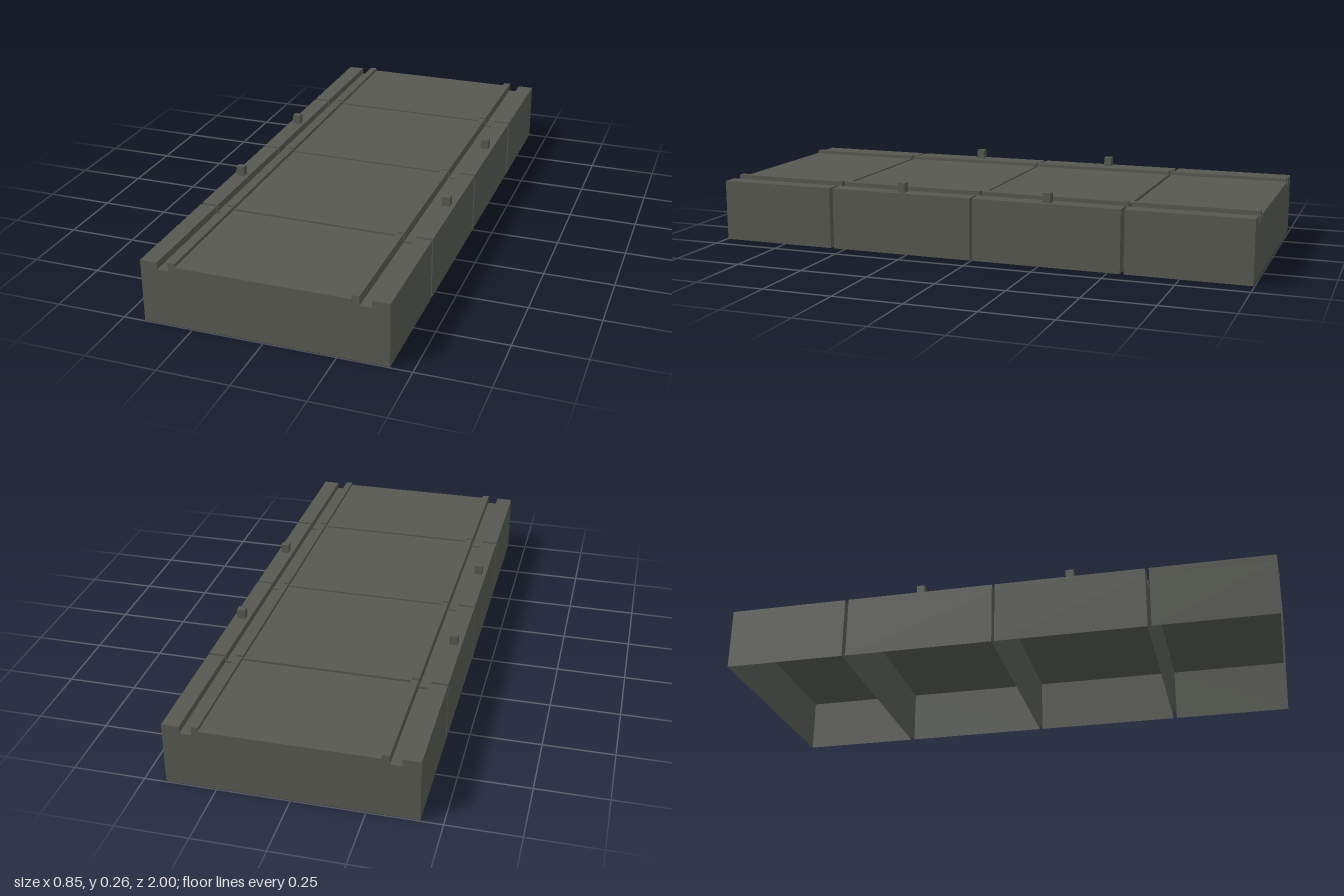
import * as THREE from 'three';

export function createModel() {
  const model = new THREE.Group();
  const grey = new THREE.MeshStandardMaterial({ color: 0x565850, side: THREE.DoubleSide });
  grey.name = 'dark olive grey';

  const HALF_W = 0.425, FLOOR = 0.2;

  const add = (parent, name, geometry) => {
    const mesh = new THREE.Mesh(geometry, grey);
    mesh.name = name;
    parent.add(mesh);
    return mesh;
  };
  // box given by its limits on each axis
  const block = (parent, name, x0, x1, y0, y1, z0, z1) => {
    const mesh = add(parent, name, new THREE.BoxGeometry(x1 - x0, y1 - y0, z1 - z0));
    mesh.position.set((x0 + x1) / 2, (y0 + y1) / 2, (z0 + z1) / 2);
    return mesh;
  };

  // one hollow section, open underneath
  function section(name, z0, z1, deckZ0, deckZ1) {
    const g = new THREE.Group();
    g.name = name;
    const length = z1 - z0, mid = (z0 + z1) / 2;

    // thin skirt walls and the channel floor
    add(g, 'frontWall', new THREE.PlaneGeometry(HALF_W * 2, FLOOR)).position.set(0, FLOOR / 2, z1);
    const back = add(g, 'backWall', new THREE.PlaneGeometry(HALF_W * 2, FLOOR));
    back.position.set(0, FLOOR / 2, z0);
    back.rotation.y = Math.PI;
    const floor = add(g, 'channelFloor', new THREE.PlaneGeometry(HALF_W * 2, length));
    floor.position.set(0, FLOOR, mid);
    floor.rotation.x = -Math.PI / 2;

    for (const s of [-1, 1]) {
      const side = s > 0 ? 'left' : 'right';
      const wall = add(g, side + 'Wall', new THREE.PlaneGeometry(length, FLOOR));
      wall.position.set(s * HALF_W, FLOOR / 2, mid);
      wall.rotation.y = s * Math.PI / 2;
      // raised shoulder outside the channel and lip beside the deck
      const strip = (part, a, b, top) =>
        block(g, side + part, Math.min(s * a, s * b), Math.max(s * a, s * b), FLOOR, top, z0, z1);
      strip('Shoulder', 0.365, HALF_W, 0.225);
      strip('Lip', 0.3, 0.325, 0.232);
    }

    // deck panel on its bed
    block(g, 'deckBed', -0.3, 0.3, FLOOR, 0.207, z0, z1);
    block(g, 'deckPanel', -0.3, 0.3, 0.207, 0.22, deckZ0, deckZ1);
    model.add(g);
    return g;
  }

  // the end decks overhang the end walls slightly
  section('backSection', -0.996, -0.557, -1, -0.557);
  section('frontSection', 0.557, 0.996, 0.557, 1);
  const middle = [
    section('backMiddleSection', -0.544, -0.005, -0.544, -0.005),
    section('frontMiddleSection', 0.005, 0.544, 0.005, 0.544),
  ];

  // small posts on the shoulders of the middle sections
  middle.forEach((g, i) => {
    const z = i ? 0.275 : -0.275;
    for (const x of [-0.395, 0.395]) {
      block(g, 'post', x - 0.015, x + 0.015, 0.225, 0.26, z - 0.014, z + 0.014);
    }
  });

  return model;
}
